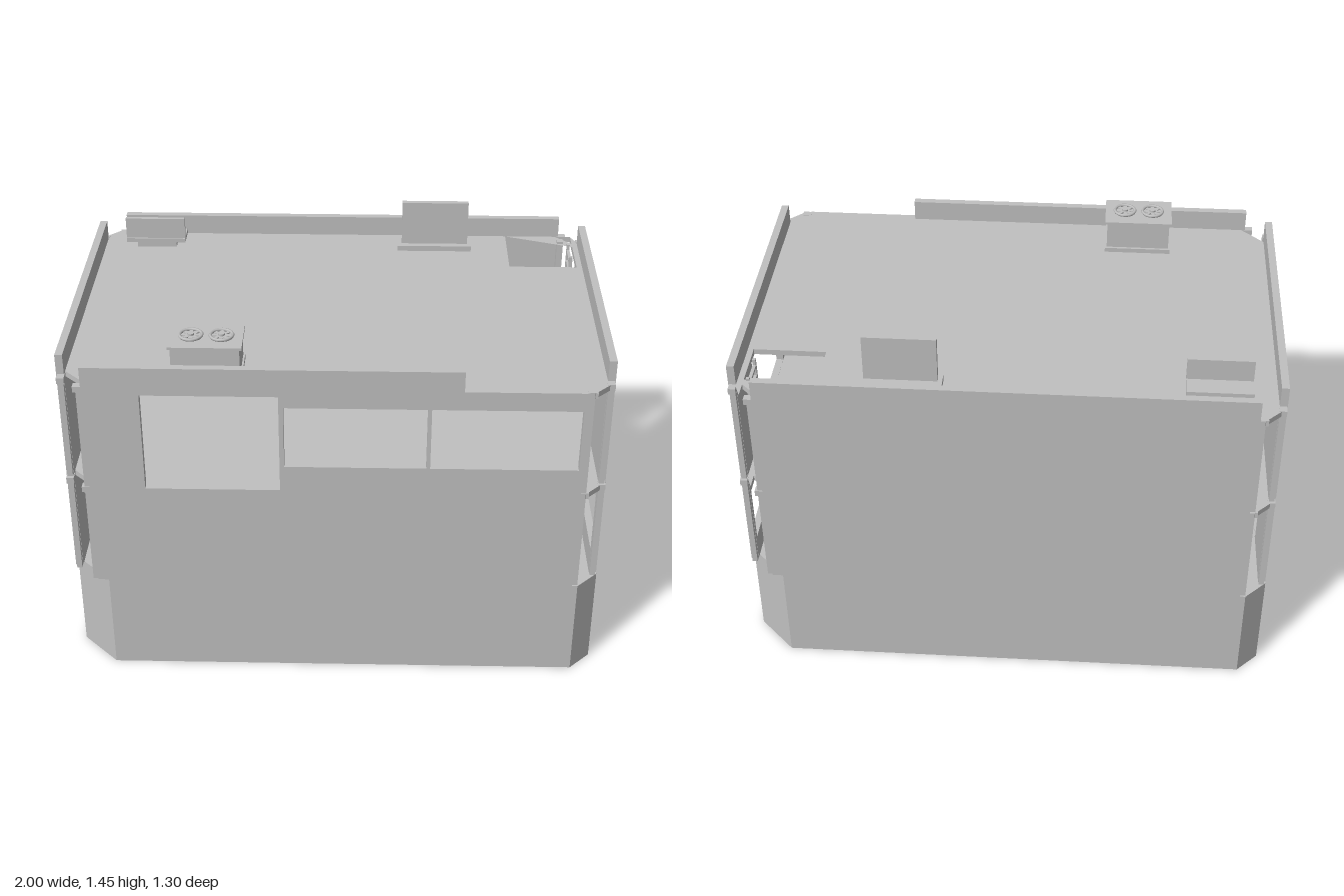
import * as THREE from 'three';

const grey = new THREE.MeshStandardMaterial({ color: 0xc0c0c0 });
grey.name = 'pale grey';

const FLOOR = 0.4, MID = 0.8, ROOF = 1.25, TOP = 1.33, T = 0.028;

// footprint with two narrow and two wide cut corners, as [x, z]
const footprint = [
  [-0.86, 0.65], [0.92, 0.65], [1, 0.57], [1, -0.51],
  [0.86, -0.65], [-0.92, -0.65], [-1, -0.57], [-1, 0.51],
];
const hatch = [0.68, -0.62, 0.95, -0.34];

function rectPath(x0, y0, x1, y1) {
  return new THREE.Path([[x0, y0], [x0, y1], [x1, y1], [x1, y0]].map(p => new THREE.Vector2(...p)));
}

function plate(points, holes, depth) {
  const shape = new THREE.Shape(points.map(p => new THREE.Vector2(...p)));
  holes.forEach(h => shape.holes.push(rectPath(...h)));
  return new THREE.ExtrudeGeometry(shape, { depth, bevelEnabled: false });
}

export function createModel() {
  const group = new THREE.Group();

  function add(name, geometry, parent = group) {
    const mesh = new THREE.Mesh(geometry, grey);
    mesh.name = name;
    parent.add(mesh);
    return mesh;
  }
  // box given by its minimum and maximum corners
  function box(name, [x0, y0, z0], [x1, y1, z1], parent = group) {
    const g = new THREE.BoxGeometry(x1 - x0, y1 - y0, z1 - z0);
    g.translate((x0 + x1) / 2, (y0 + y1) / 2, (z0 + z1) / 2);
    return add(name, g, parent);
  }
  function slab(name, y0, y1, scale, withHatch) {
    const pts = footprint.map(([x, z]) => [x * scale, -z * scale]);
    const holes = withHatch ? [[hatch[0], -hatch[3], hatch[2], -hatch[1]]] : [];
    const g = plate(pts, holes, y1 - y0);
    g.rotateX(-Math.PI / 2);
    g.translate(0, y0, 0);
    return add(name, g);
  }

  // base and storeys
  slab('base', 0, FLOOR, 1, false);
  slab('middleFloor', MID, MID + 0.022, 0.998, true);
  slab('roof', ROOF - 0.022, ROOF, 0.998, true);

  // front wall with one tall and two wide windows, parapet stepped down on one side
  const front = plate(
    [[-0.9, FLOOR], [0.9, FLOOR], [0.9, ROOF], [0.46, ROOF], [0.46, TOP], [-0.9, TOP]],
    [[-0.695, 0.822, -0.2, 1.22], [-0.183, 0.925, 0.333, 1.175], [0.347, 0.925, 0.885, 1.175]], T);
  add('frontWall', front).position.z = 0.65 - T;

  box('backWall', [-0.9, FLOOR, -0.65], [0.9, TOP, -0.65 + T]);

  // side walls, drawn in z and y
  function sideWall(name, x, holes) {
    const g = plate([[-0.56, FLOOR], [0.56, FLOOR], [0.56, TOP], [-0.56, TOP]], holes, T);
    g.rotateY(-Math.PI / 2);
    add(name, g).position.x = x;
  }
  sideWall('rightSideWall', 1, [
    [-0.312, 0.823, 0.183, 1.223],
    [-0.543, 0.5, 0.003, 0.745], [0.018, 0.5, 0.547, 0.745],
  ]);
  sideWall('leftSideWall', -1 + T, [[-0.315, 0.402, 0.16, 0.785]]);

  // slim posts framing the open corners
  for (const sx of [-1, 1]) {
    for (const sz of [-1, 1]) {
      const corner = new THREE.Group();
      corner.name = 'cornerFrame';
      group.add(corner);
      const post = (x, z) => box('cornerPost',
        [sx * x - 0.01, FLOOR, sz * z - 0.01], [sx * x + 0.01, ROOF - 0.02, sz * z + 0.01], corner);
      post(0.91, 0.633);
      post(0.983, 0.568);
      // small brackets at each storey
      for (const y of [MID + 0.011, ROOF - 0.011]) {
        const b = (x, z, w, d) => box('cornerBracket',
          [sx * x - w, y - 0.012, sz * z - d], [sx * x + w, y + 0.012, sz * z + d], corner);
        b(0.912, 0.633, 0.018, 0.014);
        b(0.983, 0.572, 0.014, 0.018);
      }
    }
  }

  // ladder through the hatches
  const ladder = new THREE.Group();
  ladder.name = 'ladder';
  group.add(ladder);
  for (const z of [-0.415, -0.53]) {
    box('ladderRail', [0.928, FLOOR, z - 0.006], [0.94, 1.26, z + 0.006], ladder);
  }
  for (let y = 0.43; y < 1.24; y += 0.0445) {
    box('ladderRung', [0.928, y - 0.006, -0.53], [0.94, y + 0.006, -0.415], ladder);
  }
  box('hatchPipe', [0.89, FLOOR, -0.58], [0.915, 1.26, -0.553]);

  // cooling unit with two fans
  const unit = new THREE.Group();
  unit.name = 'coolingUnit';
  group.add(unit);
  box('unitFoot', [-0.59, ROOF, 0.42], [-0.33, ROOF + 0.018, 0.598], unit);
  box('unitBody', [-0.583, ROOF, 0.43], [-0.337, 1.378, 0.59], unit);
  box('unitLid', [-0.592, 1.376, 0.422], [-0.328, 1.386, 0.597], unit);
  for (const x of [-0.515, -0.405]) {
    const ring = new THREE.TorusGeometry(0.04, 0.006, 6, 24);
    ring.rotateX(Math.PI / 2);
    add('fanRing', ring, unit).position.set(x, 1.392, 0.51);
    const hub = new THREE.CylinderGeometry(0.012, 0.012, 0.014, 12);
    add('fanHub', hub, unit).position.set(x, 1.392, 0.51);
    for (let i = 0; i < 4; i++) {
      const blade = add('fanBlade', new THREE.BoxGeometry(0.076, 0.004, 0.013), unit);
      blade.position.set(x, 1.39, 0.51);
      blade.rotation.y = i * Math.PI / 4;
    }
  }

  // upright panel on a plinth
  box('panelPlinth', [0.23, ROOF, -0.547], [0.53, 1.272, -0.475]);
  box('uprightPanel', [0.247, 1.27, -0.522], [0.515, 1.452, -0.5]);

  // roof vent with an overhanging shelf and a back plate
  box('ventBase', [-0.84, ROOF, -0.54], [-0.68, 1.285, -0.49]);
  box('ventShelf', [-0.88, 1.283, -0.562], [-0.64, 1.3, -0.462]);
  box('ventPlate', [-0.88, 1.298, -0.484], [-0.64, 1.385, -0.468]);

  return group;
}
